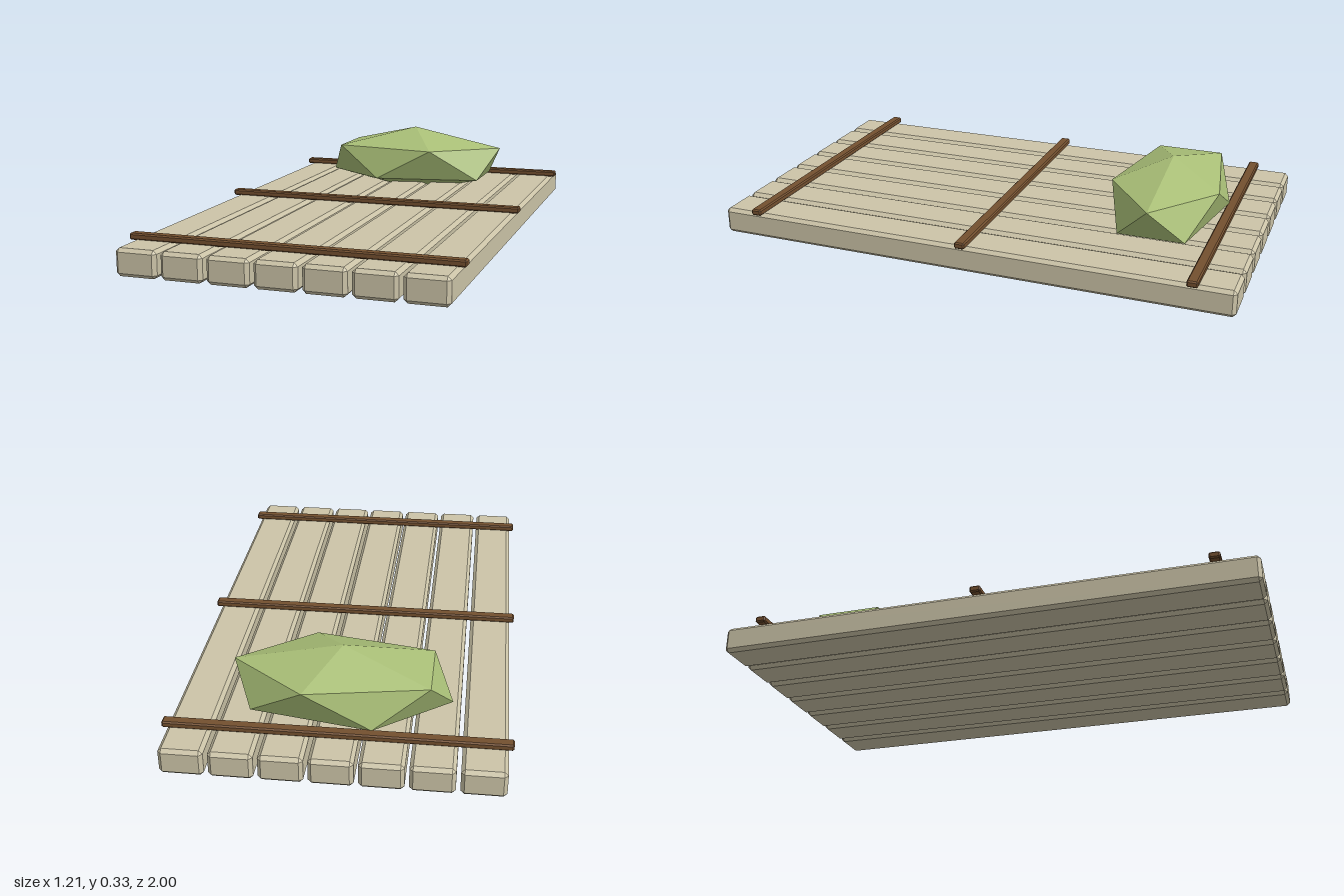
import * as THREE from 'three';
import { ConvexGeometry } from 'three/addons/geometries/ConvexGeometry.js';

// Box with flat chamfers on all edges: three points per corner
function chamferedBox(w, h, d, c) {
  const points = [];
  for (const sx of [-1, 1]) for (const sy of [-1, 1]) for (const sz of [-1, 1]) {
    const x = w / 2, y = h / 2, z = d / 2;
    points.push(
      new THREE.Vector3(sx * x, sy * (y - c), sz * (z - c)),
      new THREE.Vector3(sx * (x - c), sy * y, sz * (z - c)),
      new THREE.Vector3(sx * (x - c), sy * (y - c), sz * z));
  }
  return new ConvexGeometry(points);
}

// Twenty-sided solid standing on a point, with two staggered rings of five
function facetedPillow(rx, ry, rz) {
  const ringY = 1 / Math.sqrt(5), ringR = 2 / Math.sqrt(5);
  const points = [new THREE.Vector3(0, ry, 0), new THREE.Vector3(0, -ry, 0)];
  for (let i = 0; i < 5; i++) {
    const a = i * Math.PI * 2 / 5;
    const x = rx * ringR * Math.cos(a), z = rz * ringR * Math.sin(a);
    points.push(new THREE.Vector3(x, ry * ringY, z), new THREE.Vector3(-x, -ry * ringY, -z));
  }
  return new ConvexGeometry(points);
}

export function createModel() {
  const group = new THREE.Group();
  const paleWood = new THREE.MeshStandardMaterial({ name: 'paleWood', color: 0xccc4a8 });
  const darkWood = new THREE.MeshStandardMaterial({ name: 'darkWood', color: 0x74502f });
  const greenCloth = new THREE.MeshStandardMaterial({ name: 'greenCloth', color: 0xa9bf77 });

  const add = (name, geometry, material, x, y, z) => {
    const mesh = new THREE.Mesh(geometry, material);
    mesh.name = name;
    mesh.position.set(x, y, z);
    group.add(mesh);
  };

  // Seven long planks, side by side
  const plank = chamferedBox(0.155, 0.1, 2, 0.013);
  for (let i = -3; i <= 3; i++) add('plank', plank, paleWood, i * 0.17, 0.05, 0);

  // Three cross slats on top
  const slat = chamferedBox(1.21, 0.024, 0.04, 0.005);
  for (const z of [-0.85, 0, 0.85]) add('crossSlat', slat, darkWood, 0, 0.11, z);

  // Faceted pillow, sunk a little into the planks
  add('pillow', facetedPillow(0.436, 0.145, 0.241), greenCloth, 0, 0.185, -0.632);

  return group;
}
